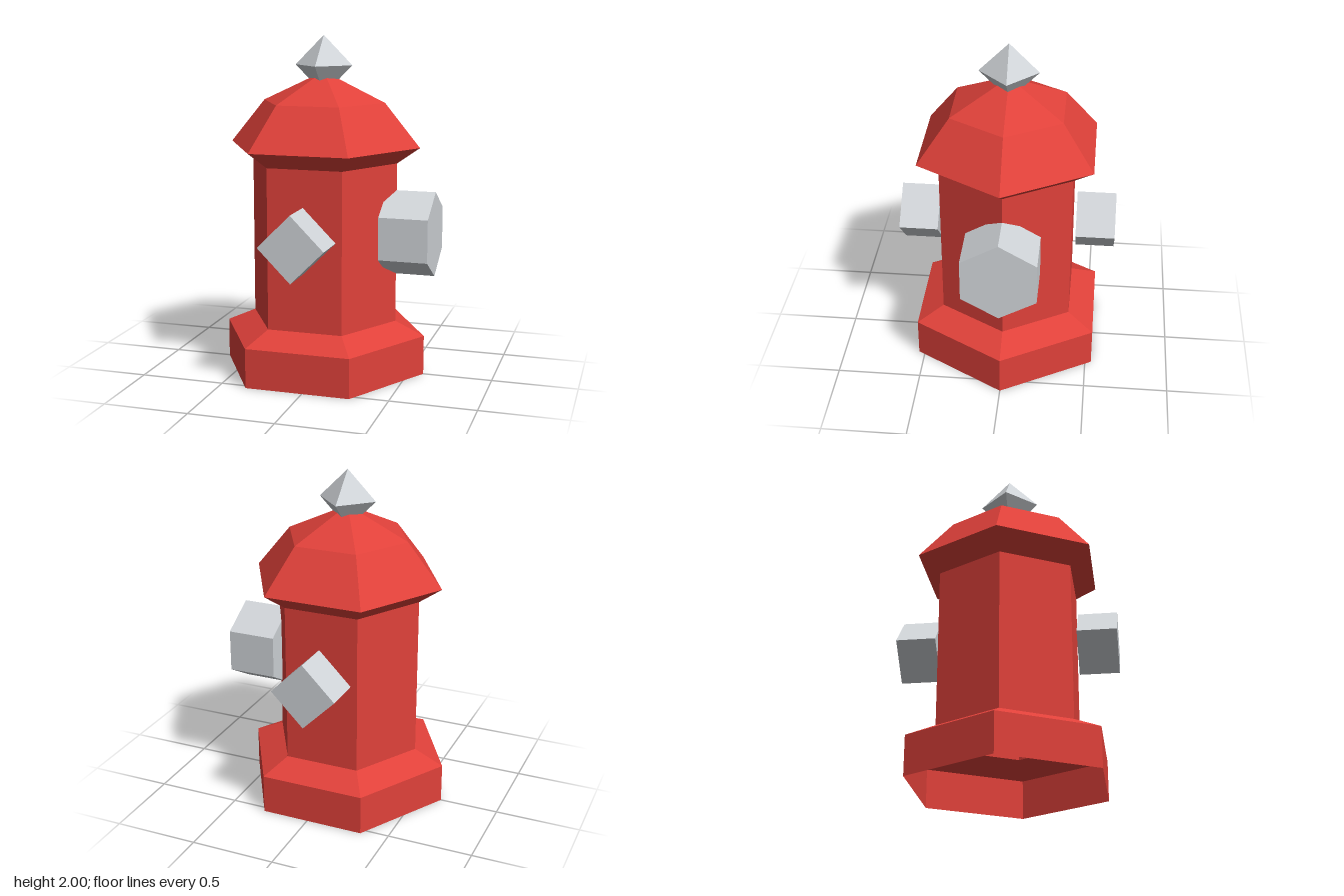
import * as THREE from 'three';

export function createModel() {
  const model = new THREE.Group();
  model.name = 'fireHydrant';

  const red = new THREE.MeshStandardMaterial({ color: 0xe0413a, flatShading: true, side: THREE.DoubleSide });
  red.name = 'red paint';
  const grey = new THREE.MeshStandardMaterial({ color: 0xd0d4d8, flatShading: true });
  grey.name = 'grey metal';

  const axisX = -0.03; // the barrel axis sits left of centre to balance the side outlet

  function add(name, geometry, material, x, y, z) {
    const flat = geometry.index ? geometry.toNonIndexed() : geometry;
    flat.computeVertexNormals();
    const mesh = new THREE.Mesh(flat, material);
    mesh.name = name;
    mesh.position.set(x, y, z);
    model.add(mesh);
  }

  // Six-sided open shell with corners on the x axis
  function shell(name, profile) {
    const points = profile.map(([r, y]) => new THREE.Vector2(r, y));
    add(name, new THREE.LatheGeometry(points, 6, Math.PI / 2), red, axisX, 0, 0);
  }

  shell('base', [[0.62, 0], [0.62, 0.235], [0.445, 0.315]]);
  shell('barrel', [[0.445, 0.315], [0.445, 1.265]]);
  shell('bonnet', [[0.445, 1.265], [0.58, 1.36], [0.37, 1.615], [0, 1.79]]);

  // Pointed top nut
  add('topNut', new THREE.OctahedronGeometry(0.173), grey, axisX, 1.827, 0);

  // Square outlets, standing on a corner, at front and back
  for (const [name, side] of [['frontOutlet', 1], ['backOutlet', -1]]) {
    const outlet = new THREE.CylinderGeometry(0.193, 0.193, 0.23, 4);
    outlet.rotateX(Math.PI / 2);
    add(name, outlet, grey, axisX, 0.86, side * 0.524);
  }

  // Large hexagonal outlet on the left side, corner up
  const sideOutlet = new THREE.CylinderGeometry(0.25, 0.25, 0.288, 6);
  sideOutlet.rotateY(Math.PI / 2);
  sideOutlet.rotateZ(Math.PI / 2);
  add('sideOutlet', sideOutlet, grey, 0.503, 0.857, 0);

  return model;
}
